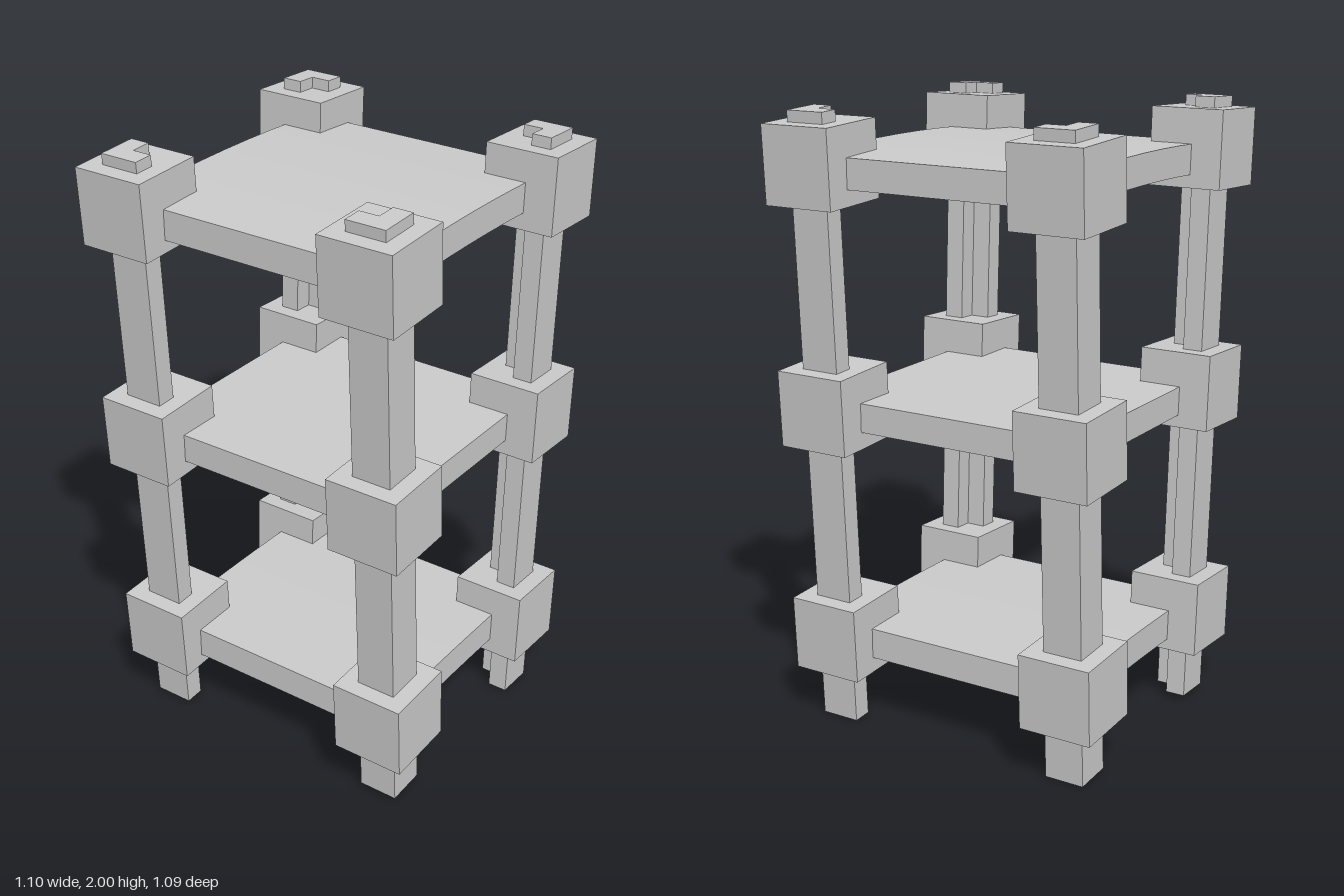
import * as THREE from 'three';

const material = new THREE.MeshStandardMaterial({ color: 0xcccccc, flatShading: true });

// Leaning angle-section post; its notch faces the middle of the rack
function makePost(sx, sz, length) {
  const h = 0.065;
  const outline = [[h, h], [-h, h], [-h, 0], [0, 0], [0, -h], [h, -h]];
  const shape = new THREE.Shape(outline.map(([x, z]) => new THREE.Vector2(x * sx, -z * sz)));
  const geometry = new THREE.ExtrudeGeometry(shape, { depth: length, bevelEnabled: false });
  geometry.rotateX(-Math.PI / 2);
  const post = new THREE.Mesh(geometry, material);
  post.name = 'post';
  return post;
}

// Shelf board, gently arched across its width
function makeShelf(width, bottom, thickness, arch) {
  const geometry = new THREE.BoxGeometry(width, thickness, 0.89, 8, 1, 1);
  const p = geometry.attributes.position;
  for (let i = 0; i < p.count; i++) {
    const t = (2 * p.getX(i)) / width;
    p.setY(i, p.getY(i) + arch * (1 - t * t));
  }
  geometry.computeVertexNormals();
  const shelf = new THREE.Mesh(geometry, material);
  shelf.name = 'shelf';
  shelf.position.y = bottom + thickness / 2;
  return shelf;
}

export function createModel() {
  const model = new THREE.Group();
  model.name = 'shelfRack';

  // The two sides splay outwards by slightly different amounts
  const sides = [
    { sx: -1, foot: 0.34, y: 0.019, length: 1.979, lean: 0.048, collars: [0.297, 1.057, 1.822] },
    { sx: 1, foot: 0.348, y: 0.004, length: 1.983, lean: 0.042, collars: [0.299, 1.063, 1.825] },
  ];
  for (const side of sides) {
    for (const sz of [-1, 1]) {
      const corner = new THREE.Group();
      corner.name = 'cornerPost';
      corner.add(makePost(side.sx, sz, side.length));

      // Block collars gripping the shelf corners
      for (const y of side.collars) {
        const collar = new THREE.Mesh(new THREE.BoxGeometry(0.24, 0.245, 0.242), material);
        collar.name = 'collar';
        collar.position.y = y;
        corner.add(collar);
      }
      corner.position.set(side.sx * side.foot, side.y, sz * 0.425);
      corner.rotation.z = -side.sx * side.lean;
      model.add(corner);
    }
  }

  // Shelves widen towards the top
  model.add(makeShelf(0.78, 0.23, 0.1, 0.007));
  model.add(makeShelf(0.84, 0.998, 0.093, 0));
  model.add(makeShelf(0.915, 1.755, 0.095, 0.015));
  return model;
}
